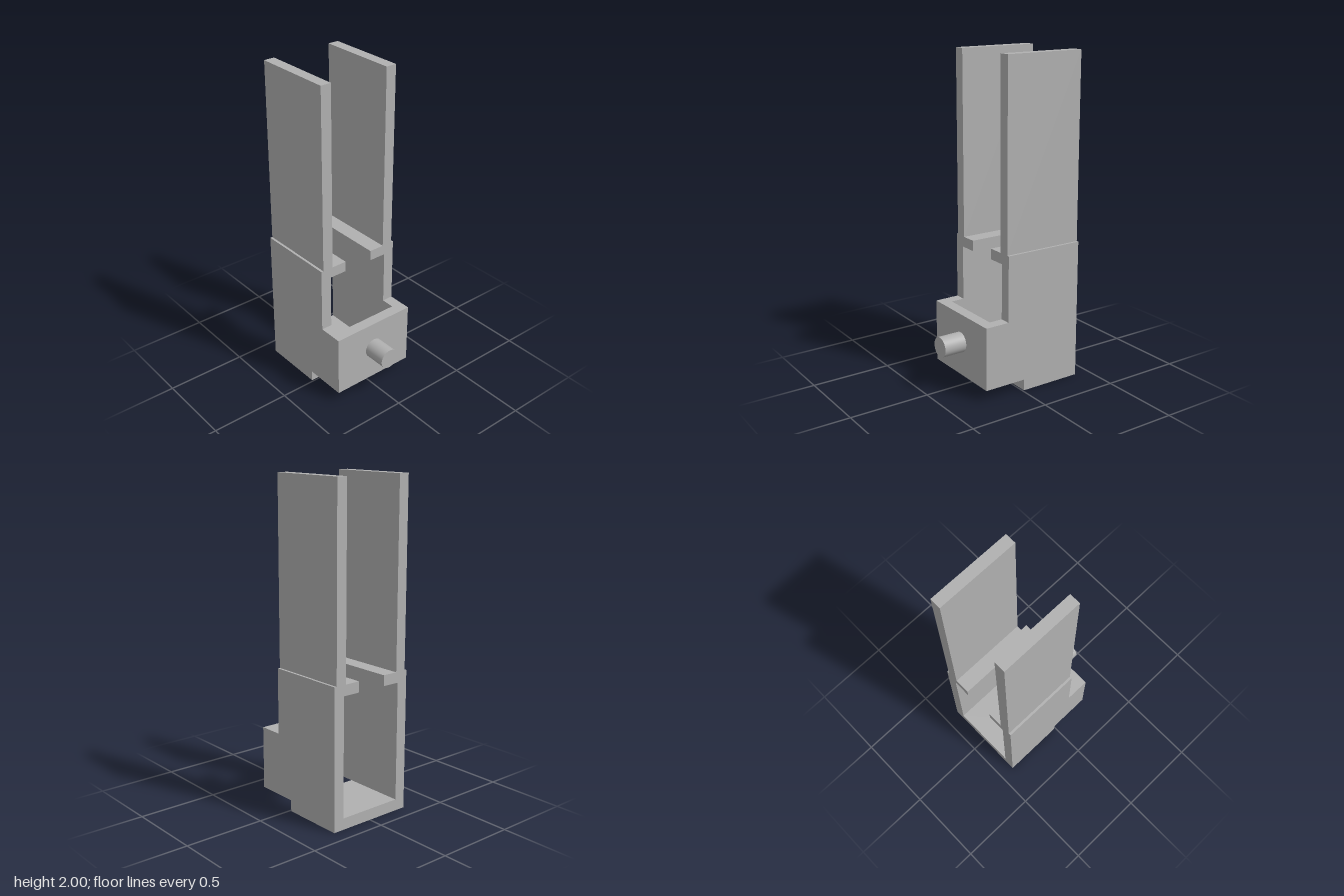
import * as THREE from 'three';

const BACK = -0.405, STEP = 0.105, FRONT = 0.26;   // z limits
const OUT = 0.277, IN = 0.208;                     // wall outer and inner x
const FLOOR = 0.07, BLOCK = 0.46, TOP = 0.865;     // y limits

export function createModel() {
  const model = new THREE.Group();
  model.name = 'slottedBracket';
  const grey = new THREE.MeshStandardMaterial({ color: 0xb0b0b0 });
  grey.name = 'plain grey';

  const add = (name, geometry) => {
    const mesh = new THREE.Mesh(geometry, grey);
    mesh.name = name;
    model.add(mesh);
    return mesh;
  };
  // Box given by its limits on each axis
  const box = (name, x0, x1, y0, y1, z0, z1) =>
    add(name, new THREE.BoxGeometry(x1 - x0, y1 - y0, z1 - z0))
      .position.set((x0 + x1) / 2, (y0 + y1) / 2, (z0 + z1) / 2);

  // Stepped side profile, drawn as (-z, y) and extruded along x
  const profile = new THREE.Shape([
    [BACK, 0], [BACK, TOP], [STEP, TOP], [STEP, BLOCK],
    [FRONT, BLOCK], [FRONT, FLOOR], [-0.01, FLOOR], [-0.01, 0],
  ].map(([z, y]) => new THREE.Vector2(-z, y)));
  const wall = new THREE.ExtrudeGeometry(profile, { depth: OUT - IN, bevelEnabled: false });
  wall.rotateY(Math.PI / 2);

  for (const [side, s] of [['left', 1], ['right', -1]]) {
    add(side + 'Wall', wall).position.x = s > 0 ? IN : -OUT;
    const mirrored = (name, a, b, ...rest) =>
      box(side + name, Math.min(s * a, s * b), Math.max(s * a, s * b), ...rest);
    // Inward lip at the top of the channel and the tall plate above it
    mirrored('Lip', 0.096, IN, 0.8, TOP, BACK, STEP);
    mirrored('Plate', 0.194, 0.262, TOP, 2, BACK, STEP);
  }

  // Floor and front wall joining the sides
  box('floor', -IN, IN, 0, FLOOR, BACK, -0.01);
  box('frontWall', -IN, IN, FLOOR, BLOCK, 0.19, FRONT);

  // Round pin on the front
  const pin = add('frontPin', new THREE.CylinderGeometry(0.0625, 0.0625, 0.145, 48));
  pin.rotation.x = Math.PI / 2;
  pin.position.set(0, 0.282, FRONT + 0.0725);

  return model;
}
